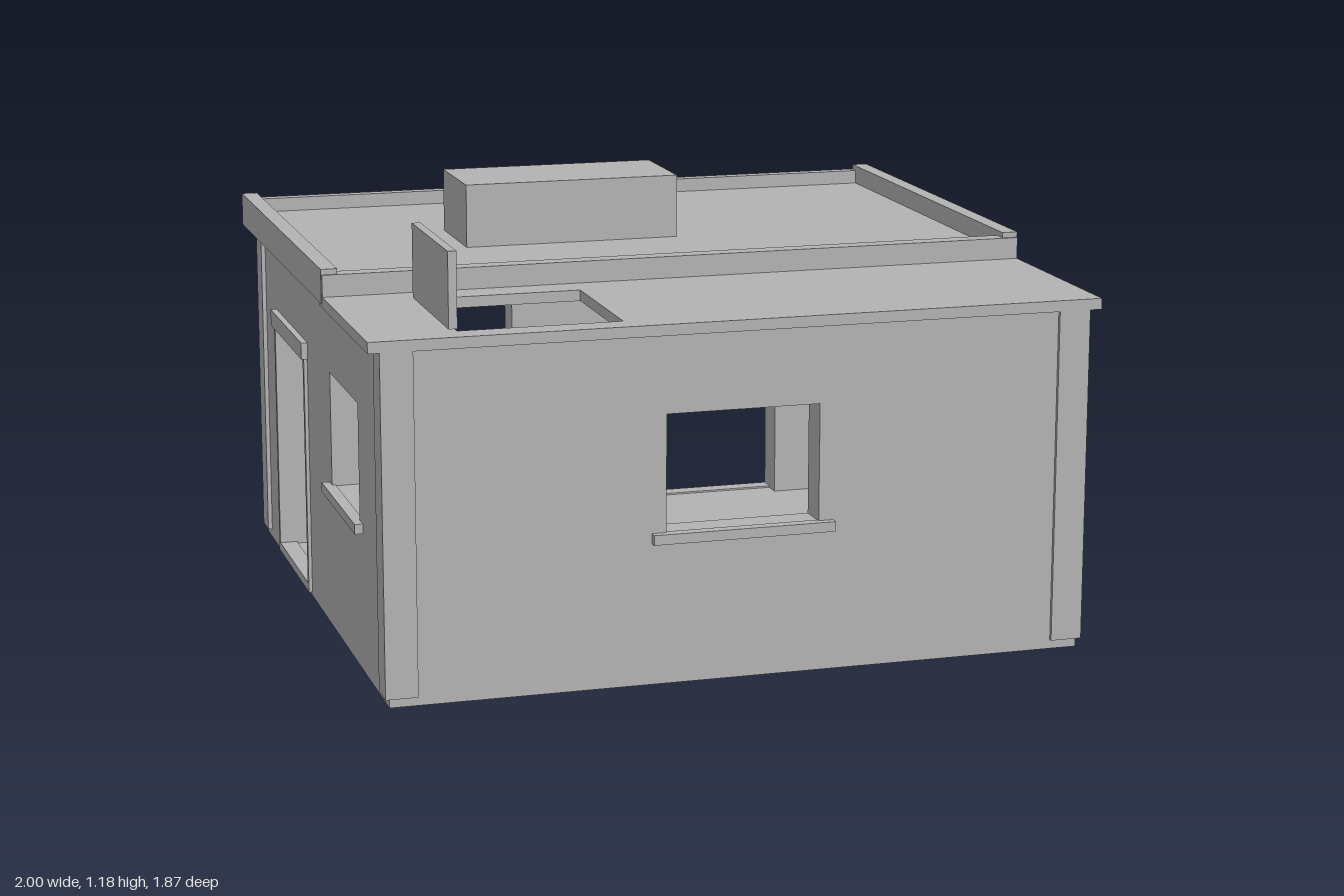
import * as THREE from 'three';

const grey = new THREE.MeshStandardMaterial({ color: 0xb3b3b3 });
const WALL = 0.09;

// Box given by its low and high limits on each axis
function block(parent, name, x0, x1, y0, y1, z0, z1) {
  const mesh = new THREE.Mesh(new THREE.BoxGeometry(x1 - x0, y1 - y0, z1 - z0), grey);
  mesh.position.set((x0 + x1) / 2, (y0 + y1) / 2, (z0 + z1) / 2);
  mesh.name = name;
  parent.add(mesh);
  return mesh;
}

function rectangle(Type, u0, u1, v0, v1) {
  return new Type([[u0, v0], [u1, v0], [u1, v1], [u0, v1]].map(([u, v]) => new THREE.Vector2(u, v)));
}

// Rectangular slab with rectangular openings, thickness along +z
function slab(u0, u1, v0, v1, openings, depth) {
  const shape = rectangle(THREE.Shape, u0, u1, v0, v1);
  for (const o of openings) shape.holes.push(rectangle(THREE.Path, ...o));
  return new THREE.ExtrudeGeometry(shape, { depth, bevelEnabled: false });
}

// Wall built facing +z at distance d, then turned to its side
function wall(parent, name, turn, d, u0, u1, windows, doors) {
  const group = new THREE.Group();
  group.name = name;
  const openings = [
    ...windows.map(([a, b]) => [a, b, 0.41, 0.73]),
    ...doors.map(([a, b]) => [a, b, 0.03, 0.7]),
  ];
  const panel = new THREE.Mesh(slab(u0, u1, 0, 0.945, openings, WALL), grey);
  panel.position.z = d - WALL;
  panel.name = name + 'Panel';
  group.add(panel);
  for (const [a, b] of windows) {
    block(group, 'windowSill', a - 0.04, b + 0.04, 0.385, 0.412, d - 0.01, d + 0.022);
  }
  for (const [a, b] of doors) {
    block(group, 'doorLintel', a - 0.025, b + 0.025, 0.697, 0.745, d - 0.01, d + 0.018);
    block(group, 'doorPost', a - 0.018, a, 0.02, 0.697, d - 0.01, d + 0.01);
    block(group, 'doorPost', b, b + 0.018, 0.02, 0.697, d - 0.01, d + 0.01);
    block(group, 'doorThreshold', a - 0.018, b + 0.018, 0.01, 0.035, d - 0.04, d + 0.01);
  }
  group.rotation.y = turn;
  parent.add(group);
}

export function createModel() {
  const model = new THREE.Group();
  model.name = 'house';

  // Floor and four walls
  block(model, 'floor', -0.95, 0.95, 0, 0.03, -0.87, 0.91);
  wall(model, 'frontWall', 0, 0.915, -0.955, 0.955, [[-0.21, 0.21]], []);
  wall(model, 'backWall', Math.PI, 0.875, -0.955, 0.955, [[0.2, 0.62]], [[-0.655, -0.215]]);
  wall(model, 'leftWall', Math.PI / 2, 0.955, -0.825, 0.785, [[-0.21, 0.17]], []);
  wall(model, 'rightWall', -Math.PI / 2, 0.955, -0.785, 0.825, [[0.19, 0.57]], [[-0.605, -0.165]]);

  // Corner posts stand slightly proud of the walls
  for (const s of [-1, 1]) {
    const [x0, x1] = s < 0 ? [-0.967, -0.88] : [0.88, 0.967];
    block(model, 'cornerPost', x0, x1, 0.025, 0.945, 0.843, 0.925);
    block(model, 'cornerPost', x0, x1, 0.025, 0.945, -0.885, -0.803);
  }

  // Low front roof with the hatch opening
  const frontRoof = new THREE.Mesh(
    slab(-0.998, 0.998, -0.928, -0.29, [[-0.75, -0.31, -0.855, -0.43]], 0.03), grey);
  frontRoof.rotation.x = -Math.PI / 2;
  frontRoof.position.y = 0.94;
  frontRoof.name = 'frontRoof';
  model.add(frontRoof);
  block(model, 'hatchCover', -0.775, -0.752, 0.978, 1.18, 0.445, 0.868);

  // Raised back roof with its rim
  block(model, 'backRoof', -0.96, 0.96, 0.945, 0.99, -0.91, 0.3);
  block(model, 'backRim', -0.998, 0.998, 0.95, 1.03, -0.935, -0.9);
  block(model, 'middleRim', -0.998, 0.998, 0.955, 1.03, 0.285, 0.335);
  block(model, 'sideRim', -1, -0.955, 0.95, 1.045, -0.928, 0.328);
  block(model, 'sideRim', 0.955, 1, 0.95, 1.045, -0.928, 0.328);

  // Box on the roof
  block(model, 'roofBox', -0.485, 0.14, 0.985, 1.17, -0.45, -0.16);
  return model;
}
